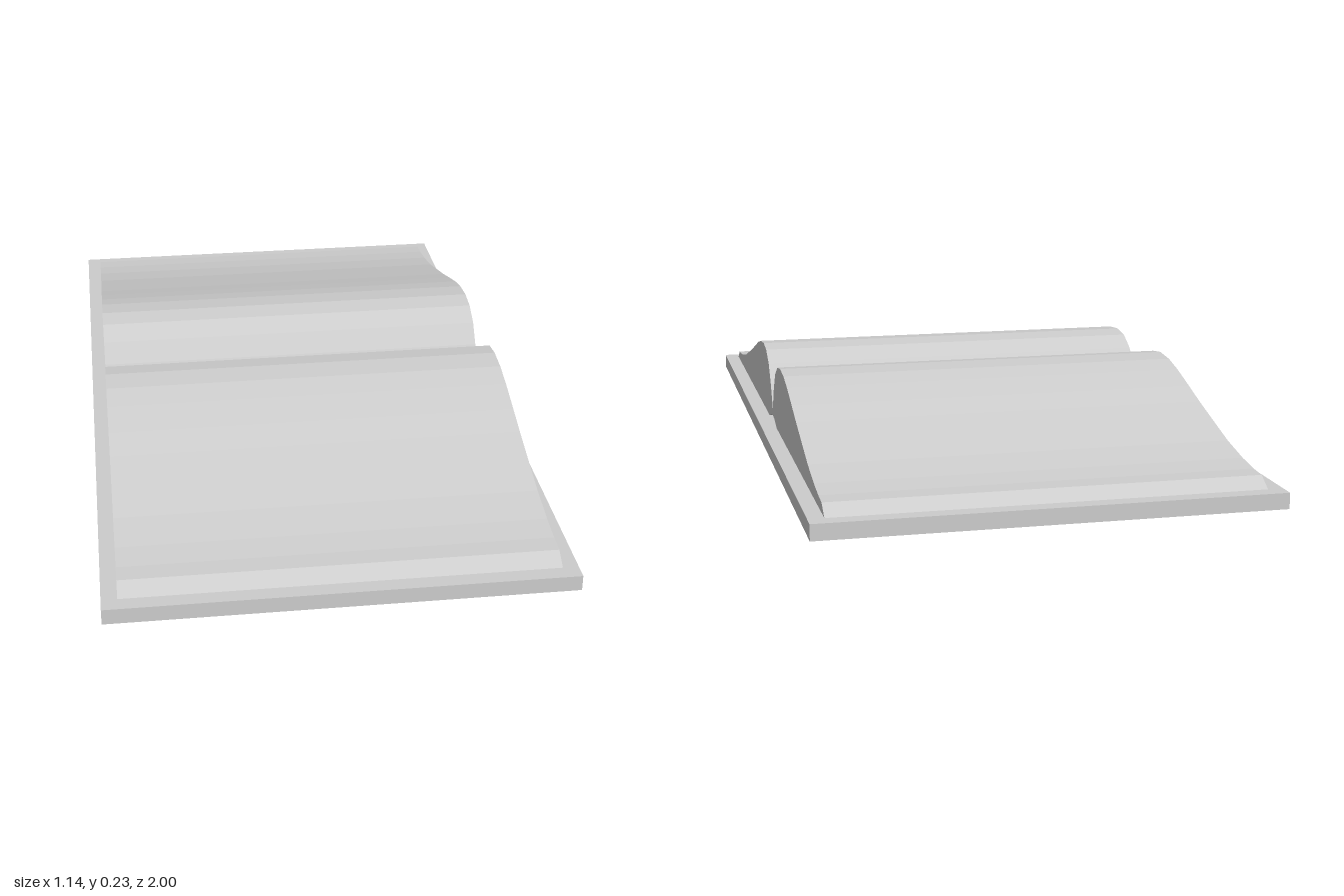
import * as THREE from 'three';

const material = new THREE.MeshStandardMaterial({ color: 0xcccccc, flatShading: true });

// Side profile of one page block: distance from the spine, height
const PROFILE = [
  [0, 0.058], [0.035, 0.054], [0.08, 0.04], [0.96, 0.04], [0.92, 0.065],
  [0.87, 0.068], [0.8, 0.077], [0.7, 0.097], [0.6, 0.125], [0.5, 0.153],
  [0.42, 0.178], [0.33, 0.205], [0.26, 0.221], [0.19, 0.227], [0.13, 0.219],
  [0.075, 0.19], [0.035, 0.14], [0, 0.076],
];

function createPages(name, angle) {
  const width = 1.062;
  const shape = new THREE.Shape(PROFILE.map(([d, h]) => new THREE.Vector2(d, h)));
  const geometry = new THREE.ExtrudeGeometry(shape, { depth: width, bevelEnabled: false });
  geometry.translate(0, 0, -width / 2);
  geometry.rotateY(angle);
  const pages = new THREE.Mesh(geometry, material);
  pages.name = name;
  return pages;
}

export function createModel() {
  const book = new THREE.Group();
  book.name = 'openBook';

  // Flat cover lying on the ground
  const cover = new THREE.Mesh(new THREE.BoxGeometry(1.14, 0.04, 2), material);
  cover.name = 'cover';
  cover.position.y = 0.02;
  book.add(cover);

  // Two curved page blocks meeting at the spine
  book.add(createPages('frontPages', -Math.PI / 2));
  book.add(createPages('backPages', Math.PI / 2));
  return book;
}
